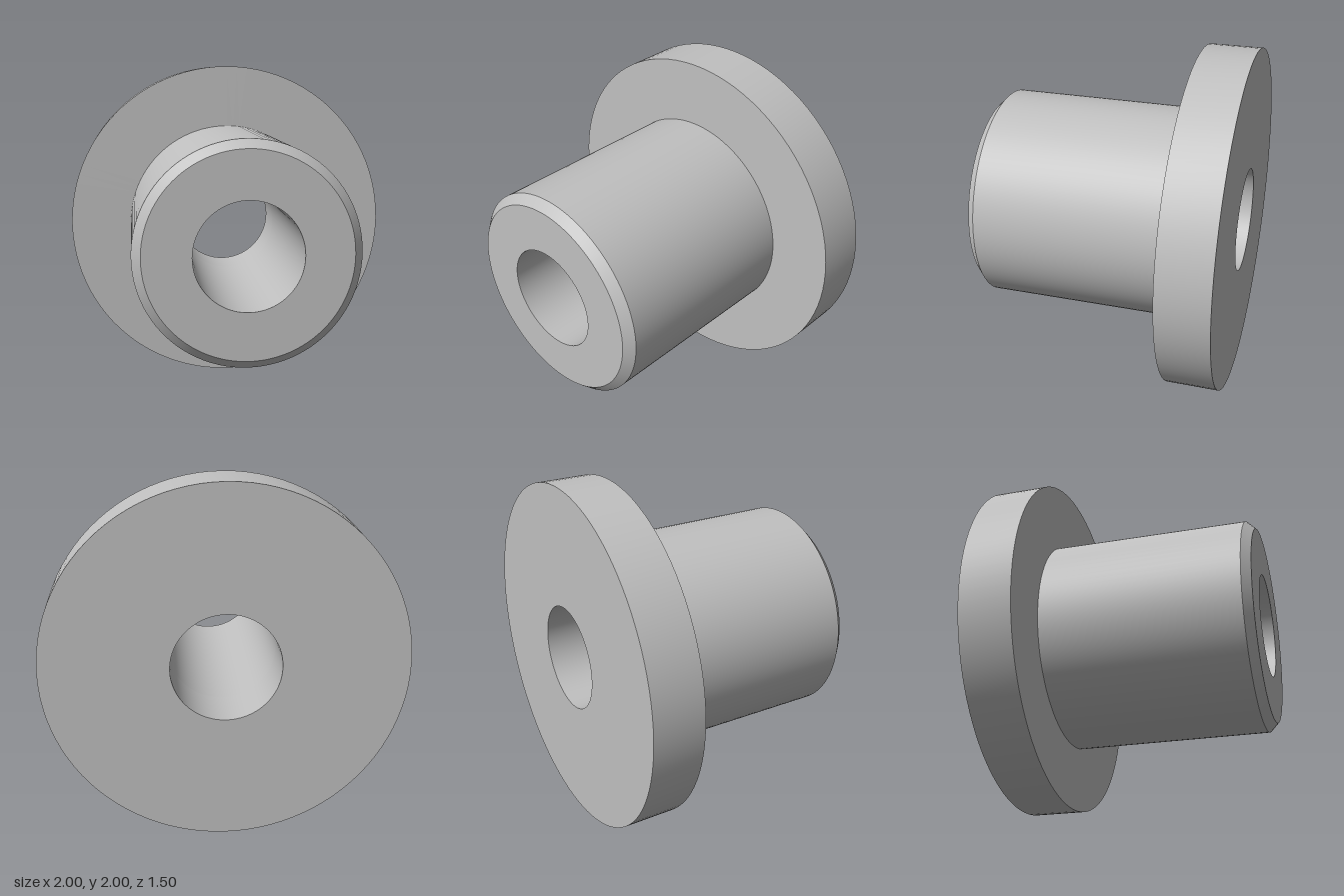
import * as THREE from 'three';
import { toCreasedNormals } from 'three/addons/utils/BufferGeometryUtils.js';

const BORE = 0.302, SLEEVE = 0.623, FLANGE = 1;
const BACK = -0.75, STEP = -0.45, FRONT = 0.75, CHAMFER = 0.05;

// Turns a [radius, z] profile around the z axis, keeping its corners sharp
function turned(name, profile, material) {
  const points = profile.map(([r, z]) => new THREE.Vector2(r, z));
  const geometry = new THREE.LatheGeometry(points, 96).rotateX(Math.PI / 2);
  const mesh = new THREE.Mesh(toCreasedNormals(geometry, 0.5), material);
  mesh.name = name;
  mesh.position.y = FLANGE;
  return mesh;
}

export function createModel() {
  const group = new THREE.Group();
  group.name = 'flangedBushing';
  const steel = new THREE.MeshStandardMaterial({ color: 0xc0c0c0 });
  steel.name = 'steel grey';

  // Wide back flange with its length of the bore
  group.add(turned('flange', [
    [BORE, STEP], [BORE, BACK], [FLANGE, BACK], [FLANGE, STEP], [SLEEVE, STEP],
  ], steel));

  // Sleeve with a chamfered front rim and the rest of the bore
  group.add(turned('sleeve', [
    [SLEEVE, STEP], [SLEEVE, FRONT - CHAMFER], [SLEEVE - CHAMFER, FRONT],
    [BORE, FRONT], [BORE, STEP],
  ], steel));

  return group;
}
